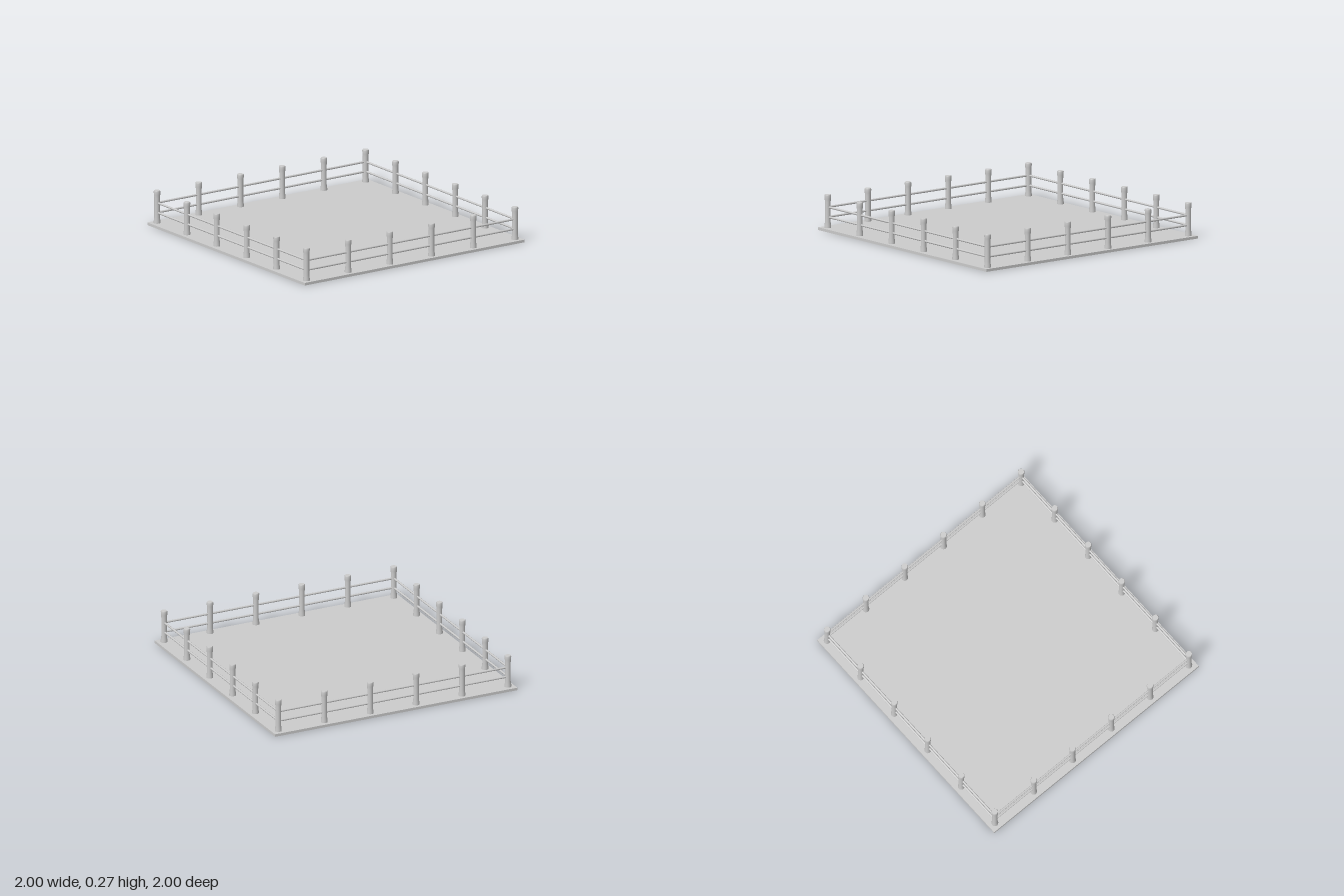
import * as THREE from 'three';

export function createModel() {
  const group = new THREE.Group();
  const material = new THREE.MeshStandardMaterial({ color: 0xcccccc });
  const add = (geometry, name, x, y, z) => {
    const mesh = new THREE.Mesh(geometry, material);
    mesh.name = name;
    mesh.position.set(x, y, z);
    group.add(mesh);
    return mesh;
  };

  // Flat square ground slab
  add(new THREE.BoxGeometry(2, 0.02, 2), 'groundSlab', 0, 0.01, 0);

  // Turned post: flared foot, slim shaft, wider head with a flat top
  const side = [
    [0.025, 0], [0.025, 0.035], [0.021, 0.065], [0.021, 0.215],
    [0.024, 0.238], [0.025, 0.262], [0.022, 0.27],
  ].map(([r, y]) => new THREE.Vector2(r, y));
  const postGeometry = new THREE.LatheGeometry(side, 20);
  const capGeometry = new THREE.CircleGeometry(0.022, 20);

  const edge = 0.948;
  const bays = 5;
  const railGeometry = new THREE.CylinderGeometry(0.008, 0.008, edge * 2, 10);

  // Each fence side: five posts (the next side supplies the last corner) and two rails
  for (let s = 0; s < 4; s++) {
    const angle = (s * Math.PI) / 2;
    const place = (along) => new THREE.Vector3(along, 0, edge)
      .applyAxisAngle(new THREE.Vector3(0, 1, 0), angle);

    for (let i = 0; i < bays; i++) {
      const p = place(-edge + (i * 2 * edge) / bays);
      add(postGeometry, 'post', p.x, 0, p.z);
      add(capGeometry, 'postTop', p.x, 0.27, p.z).rotation.x = -Math.PI / 2;
      add(capGeometry, 'postBottom', p.x, -0.0005, p.z).rotation.x = Math.PI / 2;
    }

    const middle = place(0);
    for (const y of [0.1, 0.175]) {
      const rail = add(railGeometry, 'rail', middle.x, y, middle.z);
      rail.rotation.set(0, angle, Math.PI / 2);
    }
  }
  return group;
}
